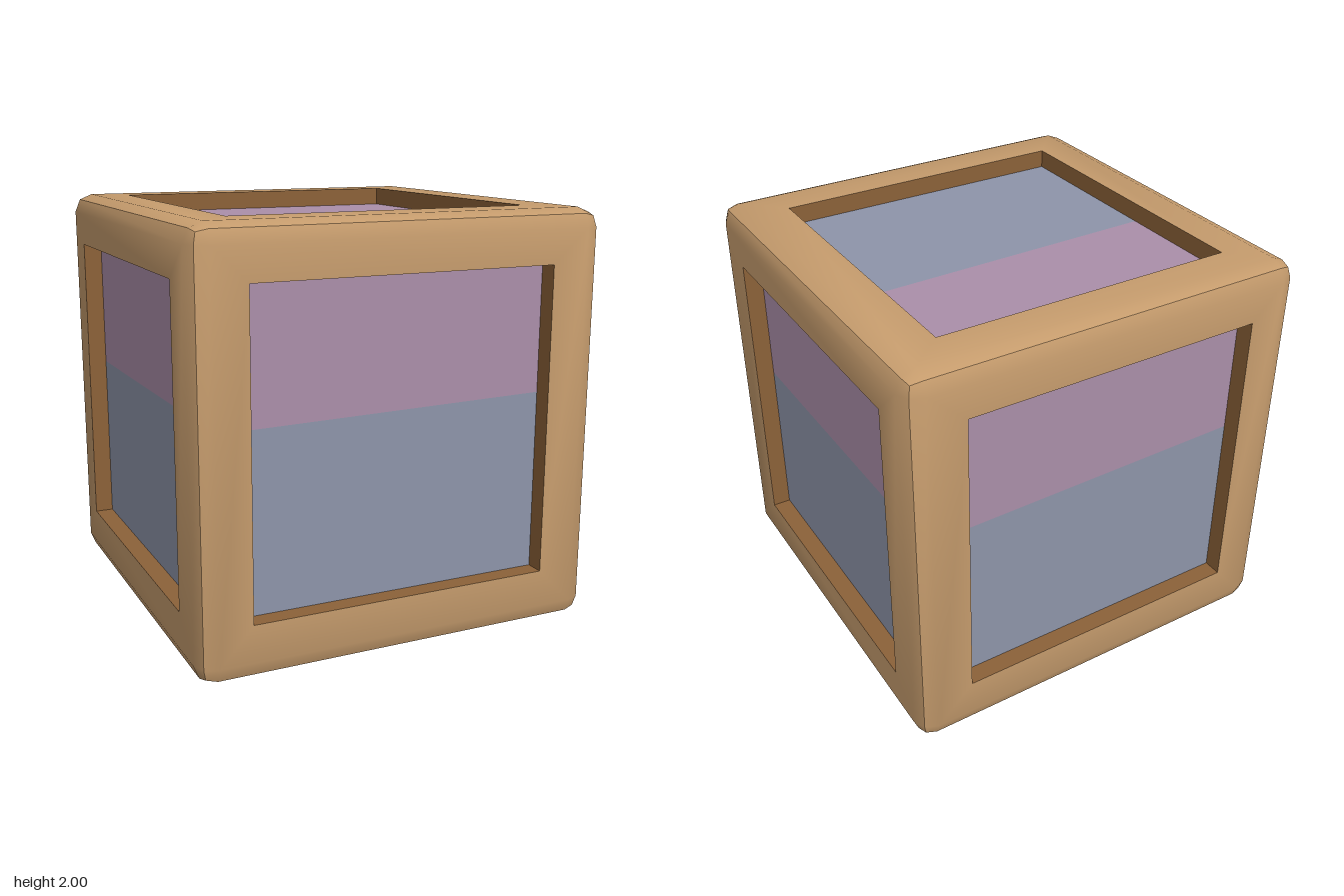
import * as THREE from 'three';
import { toCreasedNormals } from 'three/addons/utils/BufferGeometryUtils.js';

const R = 0.09;           // edge rounding radius
const FLAT = 1 - R;       // half size of the flat part of a side
const MID = FLAT + R * Math.SQRT1_2; // halfway round an edge
const TIP = FLAT + R / Math.sqrt(3); // halfway round a corner
const HALF = 0.74;        // half size of the recess
const DEPTH = 0.09;       // depth of the recess
const CORE = new THREE.Vector3(-0.01, 0.01, -0.01); // recesses sit slightly off centre

// Square ring of 12 points, three per corner, counter-clockwise seen from outside
function ring(corner, cu = 0, cv = 0) {
  const points = [];
  for (let k = 0; k < 4; k++) {
    const c = Math.round(Math.cos(k * Math.PI / 2)), s = Math.round(Math.sin(k * Math.PI / 2));
    for (const [x, y, z] of corner) points.push(new THREE.Vector3(c * x - s * y + cu, s * x + c * y + cv, z));
  }
  return points;
}
const square = (h, z, cu, cv) => ring([[h, h, z], [h, h, z], [h, h, z]], cu, cv);

// Joins successive rings, from the inner to the outer, with triangles
function loft(rings) {
  const pos = [];
  const tri = (a, b, c) => {
    if (a.equals(b) || b.equals(c) || a.equals(c)) return;
    for (const p of [a, b, c]) pos.push(p.x, p.y, p.z);
  };
  for (let r = 0; r + 1 < rings.length; r++) {
    const a = rings[r], b = rings[r + 1];
    for (let i = 0; i < a.length; i++) {
      const j = (i + 1) % a.length;
      tri(a[i], b[i], b[j]);
      tri(a[i], b[j], a[j]);
    }
  }
  const geometry = new THREE.BufferGeometry();
  geometry.setAttribute('position', new THREE.Float32BufferAttribute(pos, 3));
  return toCreasedNormals(geometry, 0.6);
}

export function createModel() {
  const material = (name, color) => {
    const m = new THREE.MeshStandardMaterial({ color });
    m.name = name;
    return m;
  };
  const wood = material('light wood', 0xc69c6d);
  const darkWood = material('dark wood', 0x8c6239);
  const pink = material('dusty pink', 0xab8faa);
  const blue = material('slate blue', 0x8e95aa);

  const model = new THREE.Group();
  model.name = 'framedCube';

  // Each side: right direction and up direction as seen from outside
  const sides = {
    front: [[1, 0, 0], [0, 1, 0]],
    right: [[0, 0, -1], [0, 1, 0]],
    back: [[-1, 0, 0], [0, 1, 0]],
    left: [[0, 0, 1], [0, 1, 0]],
    top: [[1, 0, 0], [0, 0, -1]],
    bottom: [[-1, 0, 0], [0, 0, -1]],
  };

  for (const [name, [right, up]] of Object.entries(sides)) {
    const u = new THREE.Vector3(...right), v = new THREE.Vector3(...up);
    const n = u.clone().cross(v);
    const cu = CORE.dot(u), cv = CORE.dot(v);

    const side = new THREE.Group();
    side.name = name + 'Side';
    side.quaternion.setFromRotationMatrix(new THREE.Matrix4().makeBasis(u, v, n));
    side.position.y = 1;
    const add = (part, geometry, mat, z = 0) => {
      const mesh = new THREE.Mesh(geometry, mat);
      mesh.name = part;
      mesh.position.z = z;
      side.add(mesh);
    };

    // Frame with its half of the rounded edges
    const opening = square(HALF, 1, cu, cv);
    add('frame', loft([
      opening,
      square(FLAT, 1),
      ring([[MID, FLAT, MID], [TIP, TIP, TIP], [FLAT, MID, MID]]),
    ]), wood);

    // Recess walls
    add('recessWalls', loft([square(HALF, 1 - DEPTH, cu, cv), opening]), darkWood);

    // Two-colour panel, divided by a slightly sloping line
    const x0 = cu - HALF, x1 = cu + HALF, y0 = cv - HALF, y1 = cv + HALF;
    const m0 = cv + 0.105, m1 = cv + 0.13;
    const panel = (...corners) =>
      new THREE.ShapeGeometry(new THREE.Shape(corners.map(([x, y]) => new THREE.Vector2(x, y))));
    add('upperPanel', panel([x0, m0], [x1, m1], [x1, y1], [x0, y1]), pink, 1 - DEPTH);
    add('lowerPanel', panel([x0, y0], [x1, y0], [x1, m1], [x0, m0]), blue, 1 - DEPTH);

    model.add(side);
  }
  return model;
}
